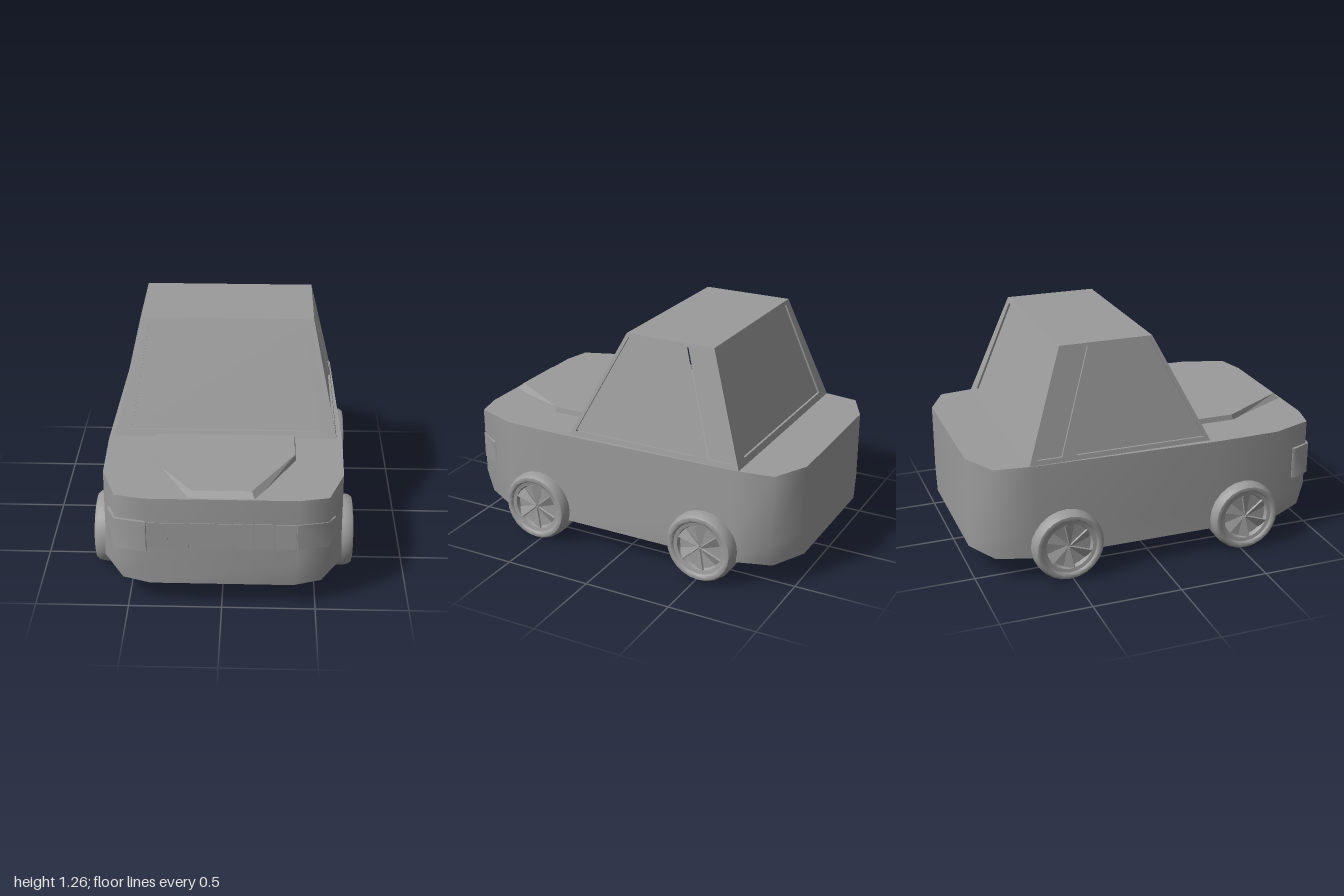
import * as THREE from 'three';
import { toCreasedNormals } from 'three/addons/utils/BufferGeometryUtils.js';

const material = new THREE.MeshStandardMaterial({ color: 0x9b9b9b });

function part(name, geometry, crease = 0.6) {
  const flat = geometry.index ? geometry.toNonIndexed() : geometry;
  const mesh = new THREE.Mesh(toCreasedNormals(flat, crease), material);
  mesh.name = name;
  return mesh;
}

const shapeOf = pts => new THREE.Shape(pts.map(p => new THREE.Vector2(p[0], p[1])));
const mirrored = half => [...half, ...half.map(([x, z]) => [-x, z]).reverse()];

// Closed loft through horizontal rings [y, half outline from front to back as (x, z)]
function loft(rings) {
  const pos = [], idx = [];
  const loops = rings.map(([y, half]) => mirrored(half).map(([x, z]) => [x, y, z]));
  const n = loops[0].length, top = (loops.length - 1) * n;
  loops.forEach(loop => loop.forEach(p => pos.push(...p)));
  for (let r = 0; r < loops.length - 1; r++) {
    for (let i = 0; i < n; i++) {
      const a = r * n + i, b = r * n + (i + 1) % n;
      idx.push(a, b, b + n, a, b + n, a + n);
    }
  }
  for (let i = 1; i < n - 1; i++) {
    idx.push(0, i + 1, i);
    idx.push(top, top + i, top + i + 1);
  }
  const g = new THREE.BufferGeometry();
  g.setAttribute('position', new THREE.Float32BufferAttribute(pos, 3));
  g.setIndex(idx);
  return g;
}

// Sloping cabin wall made of sections, each an outline with one recessed window.
// Points are (along wall, y); the wall leans from `low` to `high` out from the centre.
const Y0 = 0.665, Y1 = 1.26, RECESS = 0.015;
function cabinWall(name, sections, [low, high], turn) {
  const group = new THREE.Group();
  group.name = name;
  const lean = (g, inset) => {
    const p = g.attributes.position;
    for (let i = 0; i < p.count; i++) {
      const t = (p.getY(i) - Y0) / (Y1 - Y0);
      p.setZ(i, p.getZ(i) - inset + low + (high - low) * t);
    }
    return g.rotateY(turn);
  };
  for (const [outline, pane] of sections) {
    const shape = shapeOf(outline);
    shape.holes.push(shapeOf(pane));
    const frame = new THREE.ExtrudeGeometry(shape, { depth: RECESS, bevelEnabled: false });
    group.add(part('windowFrame', lean(frame, RECESS), 0.2));
    group.add(part('windowGlass',
      lean(new THREE.ShapeGeometry(shapeOf(pane)), RECESS * 0.8), 0.2));
  }
  return group;
}

function cabin() {
  const group = new THREE.Group();
  group.name = 'cabin';
  const wide = [0.62, 0.485], front = [0.32, 0.025], back = [0.71, 0.495];
  const end = [[
    [[-wide[0], Y0], [wide[0], Y0], [wide[1], Y1], [-wide[1], Y1]],
    [[-0.525, 0.7], [0.525, 0.7], [0.437, 1.24], [-0.437, 1.24]]
  ]];
  group.add(cabinWall('windscreenWall', end, front, 0));
  group.add(cabinWall('rearWall', end, back, Math.PI));

  // Side walls in (z, y), divided along the pillar and flipped for the left
  const pillar = [[-0.497, Y0], [-0.299, Y1]];
  const side = [
    [[[front[0], Y0], [front[1], Y1], pillar[1], pillar[0]],
      [[0.285, 0.69], [0.012, 1.24], [-0.272, 1.24], [-0.447, 0.69]]],
    [[pillar[0], pillar[1], [-back[1], Y1], [-back[0], Y0]],
      [[-0.53, 0.69], [-0.34, 1.24], [-0.467, 1.24], [-0.665, 0.69]]]
  ];
  for (const s of [1, -1]) {
    const flipped = side.map(section => section.map(pts => pts.map(([z, y]) => [-s * z, y])));
    group.add(cabinWall(s > 0 ? 'leftWall' : 'rightWall', flipped, wide, s * Math.PI / 2));
  }
  group.add(part('roof', loft([
    [Y1 - 0.012, [[0.47, 0.015], [0.47, -0.485]]],
    [Y1, [[wide[1], front[1]], [wide[1], -back[1]]]]
  ]), 0.5));
  return group;
}

// Headlight wrapped around a front corner, extruded upward from its plan
function headlight(name, side, out, y0, y1, taper) {
  const plan = [
    [0.39, 0.97], [0.395, 0.982 + out], [0.552 + out * 0.5, 0.948 + out],
    [0.59 + out, 0.862], [0.585 + out, 0.845], [0.55, 0.86], [0.53, 0.92]
  ];
  const g = new THREE.ExtrudeGeometry(shapeOf(plan.map(([x, z]) => [side * x, -z])),
    { depth: y1 - y0, bevelEnabled: false });
  g.rotateX(-Math.PI / 2).translate(0, y0, 0);
  const p = g.attributes.position;
  for (let i = 0; i < p.count; i++) {
    if (p.getZ(i) < 0.9 && p.getY(i) > 0.45) p.setY(i, p.getY(i) - taper);
  }
  return part(name, g, 0.95);
}

function wheel(name) {
  const group = new THREE.Group();
  group.name = name;
  // Tyre and dished rim, turned about the axle (outer face at +z)
  const tyre = [[0, 0], [0.192, 0], [0.198, 0.012], [0.2, 0.06], [0.2, 0.115], [0.195, 0.145],
    [0.183, 0.162], [0.165, 0.166], [0.157, 0.162], [0.152, 0.152], [0.132, 0.148],
    [0.125, 0.125], [0, 0.12]];
  group.add(part('tyre', new THREE.LatheGeometry(
    tyre.map(p => new THREE.Vector2(...p)), 24).rotateX(Math.PI / 2), 0.7));
  // Tilted wedge spokes
  const count = 6;
  for (let i = 0; i < count; i++) {
    const g = new THREE.ExtrudeGeometry(
      shapeOf([[0.006, -0.004], [0.128, -0.032], [0.128, 0.032], [0.006, 0.004]]),
      { depth: 0.01, bevelEnabled: false });
    g.rotateX(0.4).translate(0, 0, 0.13).rotateZ(i / count * Math.PI * 2 + Math.PI / 2);
    group.add(part('spoke', g, 0.2));
  }
  return group;
}

export function createModel() {
  const car = new THREE.Group();
  car.name = 'car';

  // Lower body: plan outlines at the sill, bumper and waist
  const waist = [[0.4, 0.985], [0.556, 0.95], [0.64, 0.72], [0.65, 0.36],
    [0.625, -0.68], [0.595, -0.9], [0.4, -1]];
  const bumper = [[0.4, 0.985], [0.556, 0.95], [0.643, 0.72], [0.65, 0.36],
    [0.645, -0.68], [0.605, -0.9], [0.4, -1]];
  const sill = [[0.38, 0.982], [0.53, 0.93], [0.65, 0.72], [0.65, 0.36],
    [0.648, -0.68], [0.58, -0.9], [0.38, -0.998]];
  car.add(part('body', loft([[0.14, sill], [0.28, bumper], [Y0, waist]]), 1.1));

  // Raised bonnet panel with sloping edges
  car.add(part('bonnet', loft([
    [Y0 - 0.01, [[0.175, 0.982], [0.39, 0.57], [0.39, 0.315]]],
    [0.695, [[0.155, 0.945], [0.383, 0.56], [0.383, 0.345]]]
  ]), 0.2));

  car.add(cabin());

  // Grille of seven plates
  const grille = new THREE.Group();
  grille.name = 'grille';
  for (let i = -3; i <= 3; i++) {
    const plate = part('grillePlate', new THREE.BoxGeometry(0.104, 0.15, 0.03), 0.2);
    plate.position.set(i * 0.1115, 0.445, 0.974);
    grille.add(plate);
  }
  car.add(grille);

  car.add(headlight('leftHeadlight', 1, 0.008, 0.37, 0.52, 0.025));
  car.add(headlight('rightHeadlight', -1, 0.018, 0.35, 0.53, 0));

  for (const s of [1, -1]) {
    for (const z of [0.52, -0.52]) {
      const w = wheel((z > 0 ? 'front' : 'rear') + (s > 0 ? 'LeftWheel' : 'RightWheel'));
      w.position.set(s * 0.545, 0.2, z);
      w.rotation.y = s * Math.PI / 2;
      car.add(w);
    }
  }
  return car;
}
